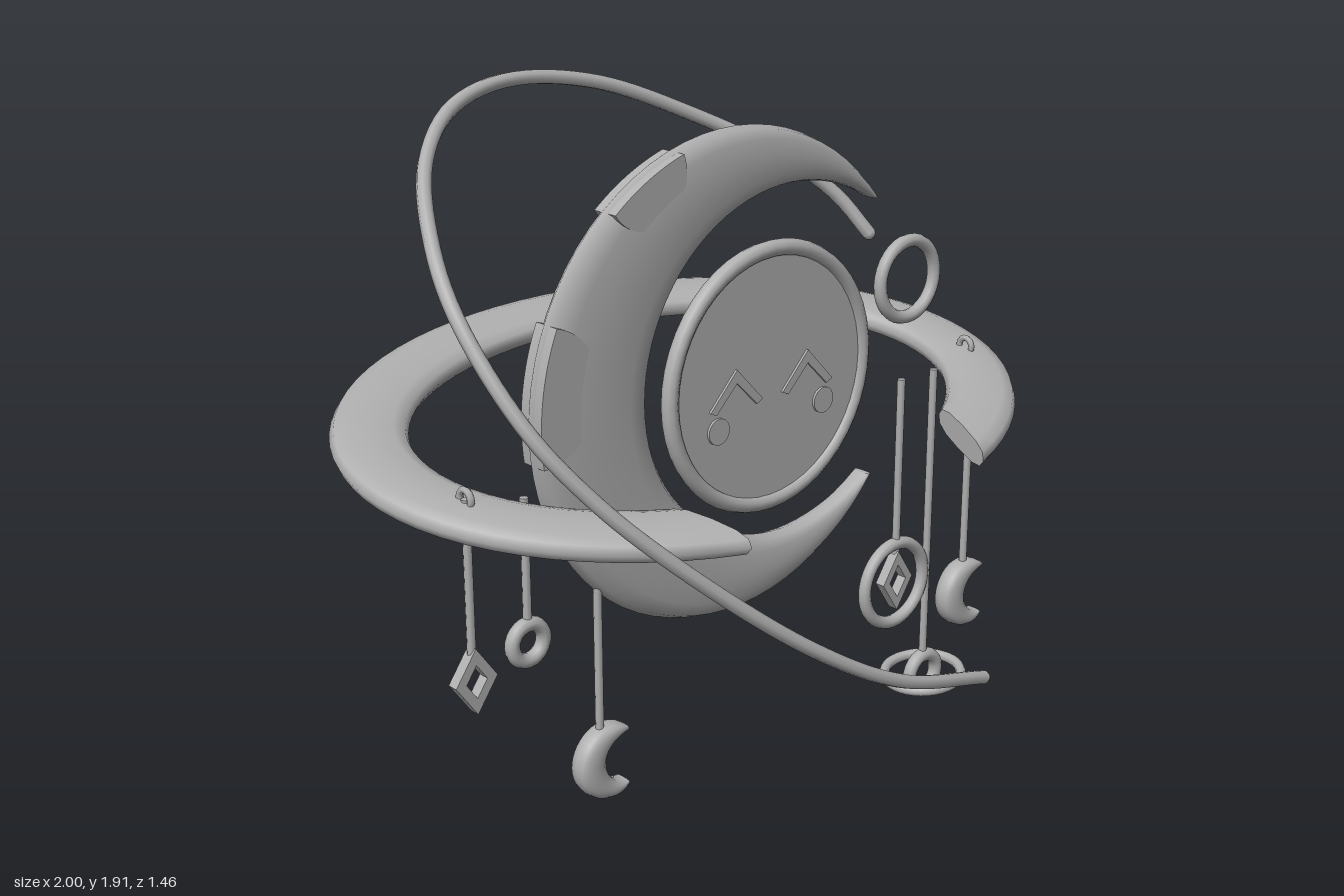
import * as THREE from 'three';

const grey = new THREE.MeshStandardMaterial({ color: 0xb0b0b0 });
grey.name = 'plainGrey';
const Z = 0.145; // depth of the hanging plane
const rad = THREE.MathUtils.degToRad;
const lerp = THREE.MathUtils.lerp;

// Skin a list of equal-sized loops and close both ends
function skin(loops) {
  const n = loops[0].length, pos = [], idx = [];
  loops.forEach(l => l.forEach(p => pos.push(p.x, p.y, p.z)));
  for (let i = 0; i < loops.length - 1; i++) {
    for (let j = 0; j < n; j++) {
      const a = i * n + j, b = i * n + (j + 1) % n;
      idx.push(a, b, a + n, b, b + n, a + n);
    }
  }
  // caps use their own vertices so the end edges stay sharp
  [0, loops.length - 1].forEach((k, end) => {
    const base = pos.length / 3;
    loops[k].forEach(p => pos.push(p.x, p.y, p.z));
    for (let j = 1; j < n - 1; j++) {
      if (end) idx.push(base, base + j, base + j + 1);
      else idx.push(base, base + j + 1, base + j);
    }
  });
  // face outward: flip when the enclosed volume is negative
  const v = i => new THREE.Vector3().fromArray(pos, i * 3);
  let volume = 0;
  for (let i = 0; i < idx.length; i += 3) {
    volume += v(idx[i]).dot(v(idx[i + 1]).cross(v(idx[i + 2])));
  }
  if (volume < 0) idx.reverse();
  const g = new THREE.BufferGeometry();
  g.setAttribute('position', new THREE.Float32BufferAttribute(pos, 3));
  g.setIndex(idx);
  g.computeVertexNormals();
  return g;
}

// Soft-cornered oval section spanning from point a to point b
function section(a, b, up, half, sides = 12) {
  const mid = a.clone().add(b).multiplyScalar(0.5);
  const across = b.clone().sub(a).multiplyScalar(0.5);
  const soft = t => Math.sign(t) * Math.abs(t) ** 0.75;
  return Array.from({ length: sides }, (_, k) => {
    const t = k / sides * Math.PI * 2;
    return mid.clone().addScaledVector(across, soft(Math.cos(t)))
      .addScaledVector(up, half * soft(Math.sin(t)));
  });
}

// Crescent open towards +x, between an outer and an offset inner arc
function crescent({ R, outerDeg, r, shift, innerDeg, grow, half, steps }) {
  const up = new THREE.Vector3(0, 0, 1), loops = [];
  for (let i = 0; i <= steps; i++) {
    const t = i / steps, s = Math.abs(2 * t - 1);
    const ao = rad(lerp(outerDeg, 360 - outerDeg, t));
    const ai = rad(lerp(innerDeg, 360 - innerDeg, t));
    const ri = r + grow * s ** 4;
    loops.push(section(
      new THREE.Vector3(R * Math.cos(ao), R * Math.sin(ao), 0),
      new THREE.Vector3(shift + ri * Math.cos(ai), ri * Math.sin(ai), 0),
      up, half * (1 - 0.3 * s ** 6)));
  }
  return skin(loops);
}

// Flat diamond frame
function diamond(w, h, border) {
  const outline = (path, k) => path.moveTo(w * k, 0).lineTo(0, h * k).lineTo(-w * k, 0).lineTo(0, -h * k).closePath();
  const shape = outline(new THREE.Shape(), 1);
  shape.holes.push(outline(new THREE.Path(), border));
  return new THREE.ExtrudeGeometry(shape, { depth: 0.03, bevelEnabled: false }).translate(0, 0, -0.015);
}

export function createModel() {
  const model = new THREE.Group();
  const add = (name, geometry, x = 0, y = 0, z = 0, parent = model) => {
    const m = new THREE.Mesh(geometry, grey);
    m.name = name;
    m.position.set(x, y, z);
    parent.add(m);
    return m;
  };

  // Large moon
  add('crescentMoon', crescent({ R: 0.63, outerDeg: 37, r: 0.45, shift: 0.17, innerDeg: 50, grow: 0.045, half: 0.04, steps: 56 }),
    -0.04, 1.15, Z);

  // Craters cut off by the moon's outer edge
  [[118, 0.12], [172, 0.17]].forEach(([deg, size]) => {
    const c = rad(deg), R = 0.622, half = 2 * Math.asin(size / (2 * R));
    const cx = R * Math.cos(c), cy = R * Math.sin(c), s = new THREE.Shape();
    s.absarc(0, 0, R, c - half, c + half, false);
    const q = half / 2 + Math.PI / 2; // sweep of the inner arc
    s.absarc(cx, cy, size, c + q, c + 2 * Math.PI - q, false);
    add('crater', new THREE.ExtrudeGeometry(s, { depth: 0.076, bevelEnabled: false, curveSegments: 16 }),
      -0.04, 1.15, Z - 0.038);
  });

  // Sun disc with rim and face
  const sun = new THREE.Group();
  sun.name = 'sun';
  sun.position.set(0.105, 1.115, 0.14);
  model.add(sun);
  add('sunDisc', new THREE.CylinderGeometry(0.34, 0.34, 0.016, 48).rotateX(Math.PI / 2), 0, 0, 0, sun);
  add('sunRim', new THREE.TorusGeometry(0.337, 0.022, 10, 48), 0, 0, 0, sun);
  [-1, 1].forEach(side => {
    const eye = new THREE.Shape([[-0.09, -0.045], [0, 0.05], [0.09, -0.045], [0.07, -0.055], [0, 0.015], [-0.07, -0.055]]
      .map(p => new THREE.Vector2(...p)));
    add('eye', new THREE.ExtrudeGeometry(eye, { depth: 0.008, bevelEnabled: false }), side * 0.125, 0, 0.007, sun);
    add('cheek', new THREE.CylinderGeometry(0.035, 0.035, 0.008, 20).rotateX(Math.PI / 2), side * 0.185, -0.1, 0.011, sun);
  });

  // Tilted, open orbit band
  const bandPoint = (a, b, deg) => {
    const z = b * Math.sin(rad(deg));
    return new THREE.Vector3(a * Math.cos(rad(deg)), 1.03 - 0.158 * z, z - 0.04);
  };
  const bandUp = new THREE.Vector3(0, 1, 0.158).normalize();
  const band = [];
  for (let i = 0; i <= 64; i++) {
    const t = i / 64;
    band.push(section(bandPoint(1, 0.695, lerp(113, 425, t)), bandPoint(0.805, 0.51, lerp(124, 409, t)), bandUp, 0.034));
  }
  add('orbitBand', skin(band));

  // Long looping wire
  const wire = [
    [0.46, 1.43, 0.14], [0.4, 1.53, 0.08], [0.28, 1.635, 0.01], [0.06, 1.76, -0.1], [-0.2, 1.865, -0.165],
    [-0.45, 1.897, -0.185], [-0.64, 1.86, -0.15], [-0.78, 1.77, -0.06], [-0.88, 1.64, 0.09], [-0.92, 1.5, 0.23],
    [-0.87, 1.28, 0.39], [-0.76, 1.11, 0.485], [-0.6, 0.94, 0.57], [-0.27, 0.665, 0.67], [0, 0.505, 0.71], [0.33, 0.4, 0.7],
  ].map(p => new THREE.Vector3(...p));
  const path = new THREE.CatmullRomCurve3(wire);
  add('loopWire', new THREE.TubeGeometry(path, 110, 0.018, 8));
  [0, 1].forEach(t => add('wireEnd', new THREE.SphereGeometry(0.018, 8, 6), ...path.getPoint(t)));

  // Small floating ring
  add('floatingRing', new THREE.TorusGeometry(0.105, 0.018, 10, 32), 0.61, 1.28, Z);

  // Cords: x, bottom, top
  [[-0.855, 0.65, 1.04], [-0.69, 0.68, 1.0], [-0.475, 0.31, 0.78], [0.6, 0.48, 1.0], [0.73, 0.14, 1.0], [0.89, 0.37, 1.02]]
    .forEach(([x, lo, hi]) => add('cord', new THREE.CylinderGeometry(0.011, 0.011, hi - lo, 8), x, (lo + hi) / 2, Z));
  [-0.855, 0.86].forEach(x => add('knot', new THREE.TorusGeometry(0.022, 0.009, 6, 14).rotateY(Math.PI / 2), x, 1.04, Z));

  // Charms
  add('diamondCharm', diamond(0.06, 0.085, 0.5), -0.853, 0.585, Z);
  add('ringCharm', new THREE.TorusGeometry(0.047, 0.019, 10, 24), -0.69, 0.63, Z);
  add('hoopCharm', new THREE.TorusGeometry(0.118, 0.018, 10, 36), 0.597, 0.4, Z);
  add('hoopDiamond', diamond(0.058, 0.088, 0.55), 0.597, 0.41, Z);
  const moon = crescent({ R: 0.1, outerDeg: 55, r: 0.066, shift: 0.052, innerDeg: 88, grow: 0.004, half: 0.035, steps: 28 });
  add('moonCharm', moon, -0.455, 0.23, Z);
  add('moonCharm', moon, 0.895, 0.285, Z);
  const planet = new THREE.Group();
  planet.name = 'planetCharm';
  planet.position.set(0.733, 0.077, Z);
  model.add(planet);
  add('planetBody', new THREE.TorusGeometry(0.055, 0.02, 10, 24), 0, 0, 0, planet);
  add('planetRing', new THREE.TorusGeometry(0.11, 0.015, 8, 36).rotateX(Math.PI / 2), 0, 0, 0, planet).rotation.z = 0.09;

  return model;
}
